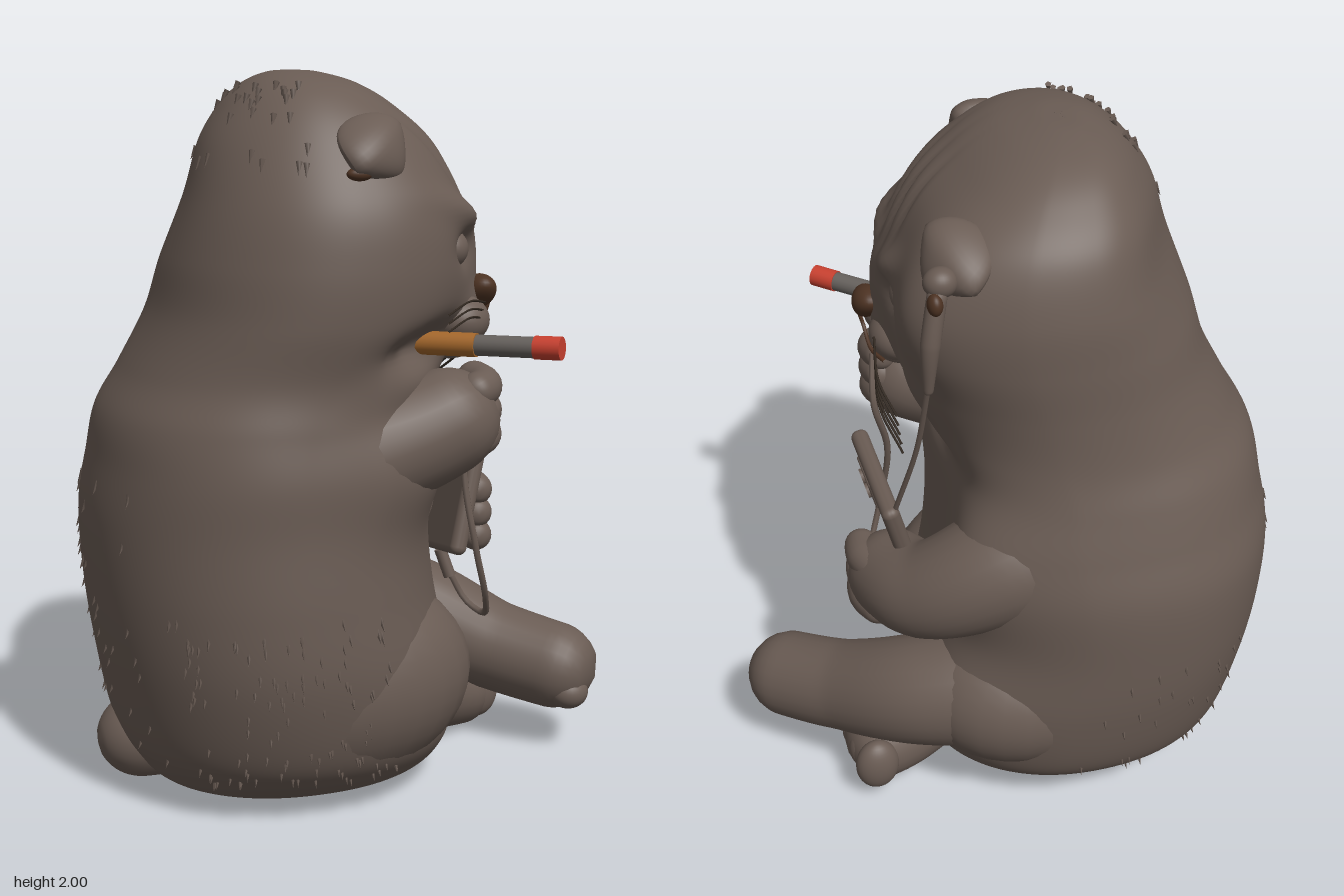
import * as THREE from 'three';
import { mergeGeometries, mergeVertices } from 'three/addons/utils/BufferGeometryUtils.js';
import { RoundedBoxGeometry } from 'three/addons/geometries/RoundedBoxGeometry.js';

const mat = (name, color) => Object.assign(new THREE.MeshStandardMaterial({ color }), { name });
const V = (p) => new THREE.Vector3(p[0], p[1], p[2]);

// Body outline by height: y, back x, front x, min z, max z
const SECTIONS = [
  [0, -0.14, -0.14, -0.02, -0.02], [0, -0.42, 0.1, -0.24, 0.19], [0.03, -0.56, 0.21, -0.37, 0.31],
  [0.1, -0.63, 0.27, -0.47, 0.41], [0.2, -0.68, 0.29, -0.55, 0.475], [0.4, -0.72, 0.26, -0.6, 0.525],
  [0.6, -0.745, 0.22, -0.62, 0.53], [0.8, -0.75, 0.2, -0.62, 0.52], [0.95, -0.73, 0.19, -0.58, 0.52],
  [1.08, -0.705, 0.19, -0.54, 0.5], [1.2, -0.64, 0.23, -0.5, 0.49], [1.35, -0.57, 0.27, -0.48, 0.52],
  [1.5, -0.54, 0.3, -0.475, 0.525], [1.65, -0.5, 0.28, -0.465, 0.5], [1.8, -0.45, 0.21, -0.42, 0.42],
  [1.9, -0.38, 0.1, -0.33, 0.34], [1.96, -0.31, 0.0, -0.23, 0.25], [1.99, -0.24, -0.1, -0.1, 0.12],
  [1.995, -0.17, -0.17, 0.01, 0.01],
];
// Sculpted relief on the face, chest and flank: y, z, height spread, width spread, amount, slope
const RELIEF = [
  [1.34, 0.21, 0.08, 0.13, 0.055, 0], [1.62, 0.33, 0.045, 0.1, 0.035, 0.4], [1.62, 0.03, 0.045, 0.1, 0.03, -0.4],
  [1.53, 0.33, 0.05, 0.07, -0.035, 0], [1.53, 0.02, 0.05, 0.07, -0.035, 0], [1.48, 0.19, 0.1, 0.06, 0.025, 0],
  [1.76, 0.14, 0.12, 0.016, -0.018, 0], [1.76, 0.22, 0.12, 0.016, -0.018, 0], [1.78, 0.3, 0.1, 0.016, -0.014, 0],
  [1.78, 0.06, 0.1, 0.016, -0.014, 0], [1.32, -0.14, 0.1, 0.12, 0.03, 0], [1.1, 0.15, 0.05, 0.25, -0.05, 0],
  [1.65, -0.27, 0.26, 0.17, 0.1, 0], [1.28, 0.4, 0.06, 0.09, -0.09, 0], [0.88, -0.4, 0.24, 0.17, 0.13, 0],
  [0.4, -0.36, 0.2, 0.19, 0.1, 0], [0.95, 0.4, 0.15, 0.14, 0.07, 0],
];
const curveX = new THREE.CatmullRomCurve3(SECTIONS.map((s) => V([s[1], s[0], s[2]])), false, 'catmullrom');
const curveZ = new THREE.CatmullRomCurve3(SECTIONS.map((s) => V([s[3], s[0], s[4]])), false, 'catmullrom');

function bodyPoint(t, a) {
  const px = curveX.getPoint(t), pz = curveZ.getPoint(t);
  const round = (v) => Math.sign(v) * Math.abs(v) ** 0.93;
  const p = V([
    (px.x + px.z) / 2 + ((px.z - px.x) / 2) * round(Math.cos(a)),
    THREE.MathUtils.clamp(px.y, 0, 2),
    (pz.x + pz.z) / 2 + ((pz.z - pz.x) / 2) * round(Math.sin(a)),
  ]);
  if (Math.cos(a) > 0) {
    let d = 0;
    for (const [y, z, sy, sz, amt, slope] of RELIEF)
      d += amt * Math.exp(-(((p.y - y - slope * (p.z - z)) / sy) ** 2) - ((p.z - z) / sz) ** 2);
    d *= Math.min(1, Math.cos(a) * 3);
    p.x += d * 0.92;
    p.z += d * 0.35 * THREE.MathUtils.smoothstep(p.z, -0.2, 0.1);
  }
  // The head is turned, so the back of the skull is slimmer on one corner
  const trim = 0.065 * Math.exp(-(((p.y - 1.72) / 0.24) ** 2)) * Math.max(0, Math.cos(a - 3.75)) ** 4;
  p.x += trim * 0.85;
  p.z += trim * 0.5;
  return p;
}

function bodyGeometry(rows = 170, cols = 180) {
  const pos = [], idx = [];
  for (let j = 0; j <= rows; j++) {
    for (let i = 0; i < cols; i++) {
      pos.push(...bodyPoint(j / rows, (i / cols) * Math.PI * 2).toArray());
      if (j === rows) continue;
      const a = j * cols + i, b = j * cols + ((i + 1) % cols);
      idx.push(a, a + cols, b, b, a + cols, b + cols);
    }
  }
  const g = new THREE.BufferGeometry();
  g.setAttribute('position', new THREE.Float32BufferAttribute(pos, 3));
  g.setIndex(idx);
  g.computeVertexNormals();
  return g;
}

// Round-ended tube whose radius follows the fourth number of each point
function limbGeometry(points, steps = 40, sides = 24) {
  const curve = new THREE.CatmullRomCurve3(points.map(V));
  const g = new THREE.TubeGeometry(curve, steps, 1, sides);
  const p = g.attributes.position, len = curve.getLength(), last = points.length - 1;
  for (let i = 0; i <= steps; i++) {
    const u = i / steps, k = Math.min(Math.floor(u * last), last - 1), f = u * last - k;
    let r = THREE.MathUtils.lerp(points[k][3], points[k + 1][3], f);
    const e = Math.min(1, (Math.min(u, 1 - u) * len) / r);
    r *= Math.sqrt(1 - (1 - e) ** 2);
    const c = curve.getPointAt(u);
    for (let j = 0; j <= sides; j++) {
      const v = new THREE.Vector3().fromBufferAttribute(p, i * (sides + 1) + j).sub(c).multiplyScalar(r).add(c);
      p.setXYZ(i * (sides + 1) + j, v.x, v.y, v.z);
    }
  }
  g.deleteAttribute('uv');
  g.deleteAttribute('normal');
  const merged = mergeVertices(g, 1e-5);
  merged.computeVertexNormals();
  return merged;
}

export function createModel() {
  const model = new THREE.Group();
  model.name = 'sittingCat';
  const fur = mat('fur', 0x6a5c54), noseMat = mat('nose', 0x4c3222), whiskerMat = mat('whisker', 0x30271f);
  const paper = mat('paper', 0x65605c), filterMat = mat('filter', 0xa5682c), emberMat = mat('ember', 0xc8402f);
  const device = mat('device', 0x685a52);

  const add = (name, geo, material) => {
    const m = new THREE.Mesh(geo, material);
    m.name = name;
    model.add(m);
    return m;
  };
  const limb = (name, pts, material = fur) => add(name, limbGeometry(pts), material);
  const ball = (name, at, size, material = fur) => {
    const m = add(name, new THREE.SphereGeometry(1, 28, 20), material);
    m.position.set(...at);
    m.scale.set(...size);
    return m;
  };
  const wire = (name, pts, r, material) =>
    add(name, new THREE.TubeGeometry(new THREE.CatmullRomCurve3(pts.map(V)), 40, r, 6), material);
  const rod = (name, from, to, r, material) => {
    const a = V(from), b = V(to), d = b.clone().sub(a);
    const m = add(name, new THREE.CylinderGeometry(r, r, d.length(), 20), material);
    m.position.copy(a).add(b).multiplyScalar(0.5);
    m.quaternion.setFromUnitVectors(V([0, 1, 0]), d.normalize());
  };

  // Torso and head, haunches, tail
  add('body', bodyGeometry(), fur);
  ball('rightHaunch', [-0.14, 0.35, 0.24], [0.41, 0.3, 0.27]);
  ball('leftHaunch', [0.02, 0.37, -0.28], [0.32, 0.24, 0.27]);
  limb('tail', [[-0.4, 0.15, -0.09, 0.15], [-0.56, 0.125, -0.09, 0.13], [-0.725, 0.11, -0.09, 0.11]]);

  // Arms and legs
  limb('rightArm', [[-0.6, 0.9, 0.2, 0.2], [-0.22, 0.96, 0.31, 0.205], [0.06, 1.03, 0.345, 0.16], [0.29, 1.13, 0.36, 0.135]]);
  limb('leftArm', [[-0.25, 0.92, -0.28, 0.22], [0.09, 0.85, -0.34, 0.18], [0.3, 0.74, -0.25, 0.14], [0.39, 0.7, 0.0, 0.12]]);
  limb('leftLeg', [[-0.05, 0.4, -0.32, 0.22], [0.29, 0.355, -0.24, 0.17], [0.5, 0.27, -0.06, 0.135], [0.725, 0.215, 0.17, 0.125]]);
  limb('rightLeg', [[-0.1, 0.17, 0.12, 0.17], [0.18, 0.16, -0.05, 0.15], [0.36, 0.125, -0.14, 0.125], [0.53, 0.11, -0.18, 0.115]]);

  // Toes, mostly sunk into the paws
  for (let i = 0; i < 3; i++) {
    const y = 1.16 - i * 0.065, w = 0.77 - i * 0.07;
    limb('rightPawFinger', [[0.18, y - 0.01, 0.43, 0.05], [0.255, y, 0.37, 0.052], [0.25, y + 0.02, 0.26, 0.045]]);
    limb('leftPawFinger', [[0.39, w, -0.2, 0.05], [0.43, w, -0.1, 0.05], [0.415, w, 0.005, 0.045]]);
    ball('leftFootToe', [0.645 + i * 0.025, 0.175 + i * 0.045, 0.155 - i * 0.03], [0.06, 0.05, 0.055]);
    ball('rightFootToe', [0.462, 0.12, -0.1 - i * 0.08], [0.065, 0.085, 0.047]);
  }

  // Folded ears: flattened drops, bent over at the tip, with dark hollows
  for (const [name, at, dir, roll] of [
    ['rightEar', [-0.08, 1.795, 0.405], [0.45, 0.35, 0.85], 0.55],
    ['leftEar', [0.2, 1.78, -0.27], [0.8, 0.45, -0.5], -0.55],
  ]) {
    const g = new THREE.SphereGeometry(1, 28, 20), p = g.attributes.position;
    for (let i = 0; i < p.count; i++) {
      const y = p.getY(i), w = y < 0 ? 1 + 0.5 * y : 1;
      p.setXYZ(i, p.getX(i) * 0.115 * w, y * 0.095, p.getZ(i) * 0.05 + 0.02 - 0.05 * Math.max(0, y) ** 2);
    }
    g.rotateZ(roll);
    g.computeVertexNormals();
    const ear = add(name, g, fur);
    ear.position.set(...at);
    ear.lookAt(V(at).add(V(dir)));
  }
  ball('rightEarHollow', [-0.135, 1.74, 0.465], [0.035, 0.018, 0.02], noseMat);
  ball('leftEarHollow', [0.285, 1.725, -0.37], [0.02, 0.03, 0.026], noseMat);

  // Face
  ball('rightEye', [0.165, 1.53, 0.325], [0.055, 0.055, 0.064]);
  ball('leftEye', [0.245, 1.53, 0.02], [0.05, 0.055, 0.066]);
  ball('rightMuzzle', [0.222, 1.33, 0.275], [0.085, 0.07, 0.085]);
  ball('leftMuzzle', [0.245, 1.33, 0.15], [0.08, 0.07, 0.09]);
  ball('chin', [0.22, 1.265, 0.21], [0.08, 0.05, 0.09]);
  const nose = ball('nose', [0.308, 1.4, 0.225], [0.044, 0.046, 0.072], noseMat);
  const np = nose.geometry.attributes.position;
  for (let i = 0; i < np.count; i++) np.setZ(i, np.getZ(i) * (0.65 + 0.35 * np.getY(i)));
  nose.geometry.computeVertexNormals();
  wire('mouth', [[0.335, 1.375, 0.225], [0.325, 1.335, 0.215], [0.322, 1.295, 0.15], [0.3, 1.285, 0.09]], 0.006, noseMat);
  for (let i = 0; i < 5; i++) {
    const s = i * 0.022;
    wire('leftWhisker', [[0.32, 1.35 - s, 0.12], [0.34, 1.28 - s, 0.01], [0.31, 1.2 - s, -0.06 - s * 0.6]], 0.0035, whiskerMat);
    if (i < 3) wire('rightWhisker', [[0.28, 1.38 - s, 0.32], [0.2, 1.395 - s, 0.4], [0.11, 1.37 - s, 0.465]], 0.003, whiskerMat);
  }

  // Cigarette
  rod('cigaretteFilter', [0.06, 1.28, 0.295], [0.205, 1.284, 0.437], 0.032, filterMat);
  rod('cigarettePaper', [0.205, 1.284, 0.437], [0.325, 1.288, 0.555], 0.028, paper);
  rod('cigaretteEmber', [0.32, 1.288, 0.55], [0.372, 1.29, 0.602], 0.031, emberMat);

  // Phone with a raised camera pad
  const phone = add('phone', new RoundedBoxGeometry(0.05, 0.43, 0.36, 4, 0.022), device);
  phone.position.set(0.325, 0.82, -0.015);
  phone.rotation.set(-0.14, 0, -0.26);
  const pad = new THREE.Mesh(new RoundedBoxGeometry(0.016, 0.1, 0.13, 3, 0.007), device);
  pad.name = 'cameraPad';
  pad.position.set(0.022, 0.125, 0.05);
  phone.add(pad);
  for (const z of [-0.03, 0.03]) {
    const lens = new THREE.Mesh(new THREE.CylinderGeometry(0.022, 0.022, 0.012, 20), device);
    lens.name = 'cameraLens';
    lens.rotation.z = Math.PI / 2;
    lens.position.set(0.032, 0.125, 0.05 + z);
    phone.add(lens);
  }

  // Earphone and cables
  ball('earbud', [0.26, 1.765, -0.335], [0.045, 0.04, 0.04], device);
  limb('earbudStem', [[0.27, 1.76, -0.35, 0.026], [0.3, 1.6, -0.37, 0.026], [0.305, 1.46, -0.36, 0.012]], device);
  wire('upperCable', [[0.305, 1.48, -0.36], [0.32, 1.25, -0.29], [0.36, 1.0, -0.2]], 0.008, device);
  rod('plug', [0.275, 0.62, 0.04], [0.3, 0.54, 0.055], 0.018, device);
  wire('lowerCable', [[0.29, 1.2, 0.27], [0.31, 1.08, 0.2], [0.27, 0.9, 0.22], [0.29, 0.68, 0.26], [0.34, 0.52, 0.22],
    [0.37, 0.445, 0.14], [0.34, 0.47, 0.08], [0.3, 0.55, 0.055]], 0.01, device);

  // Small tufts of fur lying on the hips, back and crown
  let seed = 7;
  const rand = () => (seed = (seed * 16807) % 2147483647) / 2147483647;
  const tufts = [];
  for (const [count, t0, t1, a0, a1] of [[110, 0.17, 0.33, 1.2, 2.4], [40, 0.2, 0.42, 2.6, 3.6], [30, 0.17, 0.33, 4.0, 5.0], [30, 0.75, 0.88, 1.9, 3.4]]) {
    for (let i = 0; i < count; i++) {
      const t = t0 + (t1 - t0) * rand(), a = a0 + (a1 - a0) * rand(), p = bodyPoint(t, a);
      const dir = V([Math.cos(a), -2, Math.sin(a)]).normalize();
      const cone = new THREE.ConeGeometry(0.009, 0.04, 5);
      cone.applyQuaternion(new THREE.Quaternion().setFromUnitVectors(V([0, 1, 0]), dir));
      tufts.push(cone.translate(p.x, p.y, p.z));
    }
  }
  add('furTufts', mergeGeometries(tufts), fur);
  return model;
}
